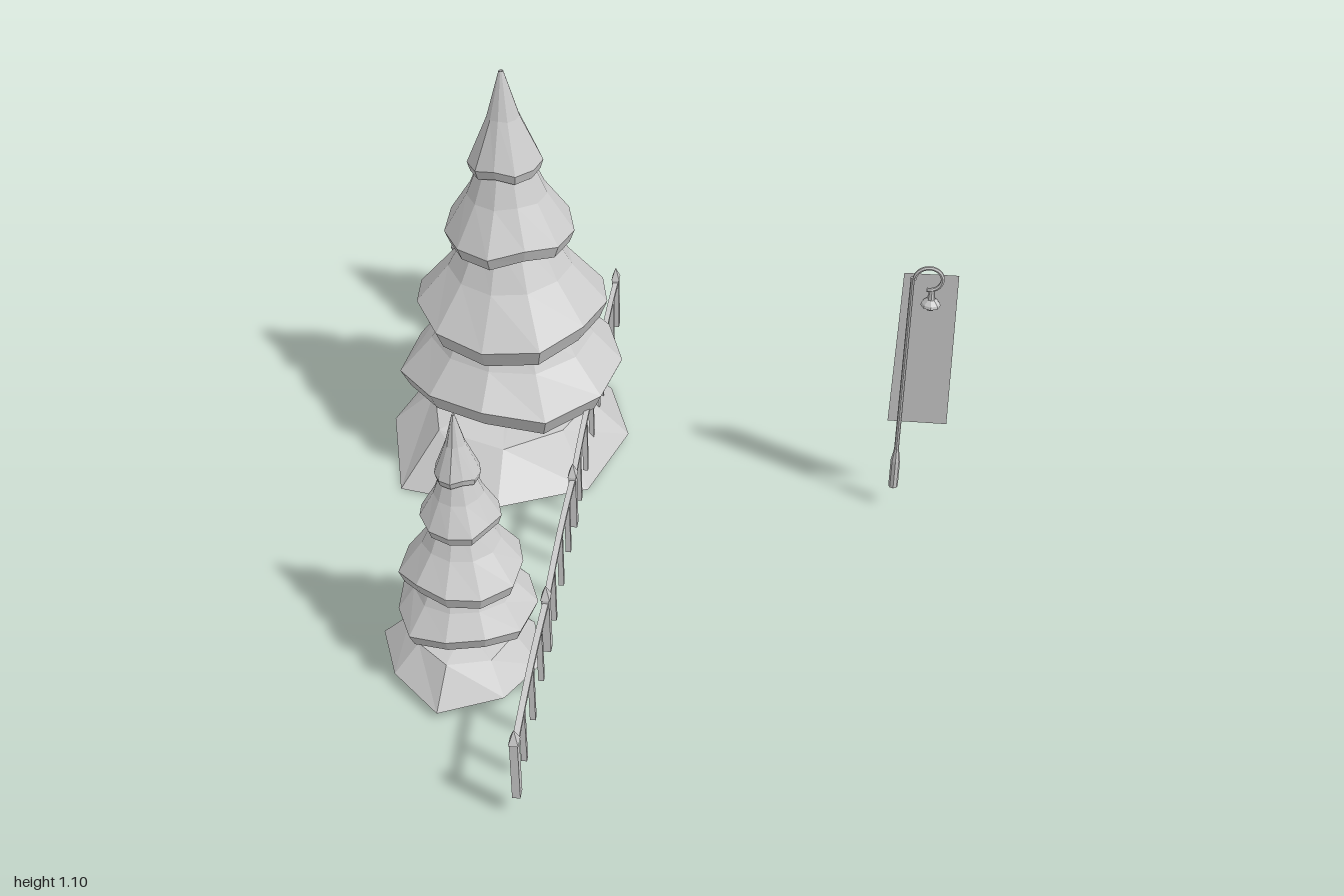
import * as THREE from 'three';

const material = new THREE.MeshStandardMaterial({ color: 0xcccccc, flatShading: true, side: THREE.DoubleSide });

function mesh(name, geometry, x = 0, y = 0, z = 0) {
  const m = new THREE.Mesh(geometry, material);
  m.name = name;
  m.position.set(x, y, z);
  return m;
}

// Skin a stack of rings; each ring is a function of angle and index giving [radius, y]
function loft(rings, sides) {
  const pos = [], index = [];
  for (const ring of rings) {
    for (let i = 0; i < sides; i++) {
      const a = (i / sides) * Math.PI * 2;
      const [r, y] = ring(a, i);
      pos.push(r * Math.cos(a), y, r * Math.sin(a));
    }
  }
  for (let j = 0; j < rings.length - 1; j++) {
    for (let i = 0; i < sides; i++) {
      const k = (i + 1) % sides;
      const a = j * sides + i, b = j * sides + k, c = a + sides, d = b + sides;
      index.push(a, b, c, b, d, c);
    }
  }
  const g = new THREE.BufferGeometry();
  g.setAttribute('position', new THREE.Float32BufferAttribute(pos, 3));
  g.setIndex(index);
  const flat = g.toNonIndexed();
  flat.computeVertexNormals();
  return flat;
}

// One skirt of branches: flared cone, thick wavy lip and recessed underside
function branchTier(topR, topY, rimR, rimY, lip, phase) {
  const wave = a => Math.sin(3 * a + phase) + 0.6 * Math.cos(5 * a + phase * 2);
  const ring = (r, y, amount) => a => [
    r * (1 + 0.035 * amount * wave(a)),
    y + 0.05 * rimR * amount * wave(a + 0.8),
  ];
  const midR = topR + (rimR - topR) * 0.4, midY = topY + (rimY - topY) * 0.5;
  return loft([
    ring(topR, topY, 0),
    ring(midR, midY, 0.3),
    ring(rimR, rimY, 1),
    ring(rimR * 0.92, rimY - lip, 1),
    ring(rimR * 0.6, rimY - lip * 0.4, 0.5),
    ring(0.03, rimY + lip * 0.2, 0),
  ], 11);
}

function createTree() {
  const tree = new THREE.Group();
  // top radius, top y, rim radius, rim y, lip height
  const tiers = [
    [0.006, 1.10, 0.093, 0.862, 0.025],
    [0.06, 0.87, 0.165, 0.67, 0.035],
    [0.10, 0.67, 0.252, 0.45, 0.05],
    [0.16, 0.44, 0.288, 0.265, 0.05],
  ];
  tiers.forEach((t, i) => tree.add(mesh('branchTier' + (i + 1), branchTier(...t, i * 1.9))));
  tree.add(mesh('trunk', new THREE.CylinderGeometry(0.035, 0.045, 0.74, 8), 0, 0.45, 0));

  // Irregular mound, hollow beneath
  const base = [0.30, 0.31, 0.34, 0.38, 0.34, 0.39, 0.31, 0.32];
  tree.add(mesh('groundMound', loft([
    () => [0.04, 0.15],
    (a, i) => [base[i] * 0.66, 0.13 + 0.008 * Math.sin(3 * a)],
    (a, i) => [base[i], i % 2 ? 0.004 : 0.024],
  ], 8)));
  return tree;
}

function createFence() {
  const fence = new THREE.Group();
  fence.name = 'fence';
  const x = -0.188, start = 0.99, bay = 0.4425, bays = 4;
  for (let b = 0; b <= bays; b++) {
    const z = start - b * bay;
    // Main post with pointed cap
    fence.add(mesh('mainPost', new THREE.BoxGeometry(0.018, 0.16, 0.025), x, 0.14, z));
    const cap = new THREE.ConeGeometry(0.5 * Math.SQRT2, 0.035, 4).rotateY(Math.PI / 4);
    const capMesh = mesh('postCap', cap, x, 0.2375, z);
    capMesh.scale.set(0.022, 1, 0.029);
    fence.add(capMesh);
    if (b === bays) break;
    // Arched rail and its pickets
    const railY = t => 0.205 + 0.015 * Math.sin(Math.PI * t);
    const arch = new THREE.Shape();
    for (let i = 0; i <= 8; i++) arch.lineTo(-bay * i / 8, railY(i / 8) + 0.005);
    for (let i = 8; i >= 0; i--) arch.lineTo(-bay * i / 8, railY(i / 8) - 0.005);
    arch.curves.shift();
    const rail = new THREE.ExtrudeGeometry(arch, { depth: 0.014, bevelEnabled: false, steps: 1 });
    rail.translate(0, 0, -0.007).rotateY(-Math.PI / 2);
    fence.add(mesh('rail', rail, x, 0, z));
    for (let p = 1; p <= 3; p++) {
      const top = railY(p * 0.28 - 0.06);
      fence.add(mesh('picket', new THREE.BoxGeometry(0.013, top - 0.06, 0.014),
        x, (top + 0.06) / 2, z - bay * (p * 0.275 - 0.05)));
    }
  }
  return fence;
}

function createLamp() {
  const lamp = new THREE.Group();
  lamp.name = 'lampPost';
  lamp.position.set(0.608, 0, -0.12);
  const lathe = pts => new THREE.LatheGeometry(pts.map(p => new THREE.Vector2(...p)), 8);
  lamp.add(mesh('pole', lathe([[0, 0.07], [0.012, 0.07], [0.012, 0.155], [0.006, 0.19], [0.005, 0.71], [0, 0.71]])));

  // Curled hook at the top of the pole
  const pts = [];
  for (let i = 0; i <= 14; i++) {
    const a = Math.PI - (i / 14) * Math.PI * 1.55;
    const r = 0.036 - 0.008 * (i / 14);
    pts.push(new THREE.Vector3(0.04 + r * Math.cos(a), 0.705 + r * Math.sin(a), 0));
  }
  lamp.add(mesh('hook', new THREE.TubeGeometry(new THREE.CatmullRomCurve3(pts), 24, 0.005, 6)));

  // Hanging lantern: shade, neck and bulb
  lamp.add(mesh('lantern', lathe([
    [0, 0.618], [0.009, 0.622], [0.011, 0.636], [0.024, 0.634], [0.022, 0.641],
    [0.010, 0.652], [0.007, 0.672], [0.003, 0.682], [0, 0.682],
  ]), 0.048));

  // Thin panel behind the lamp
  const panel = new THREE.Shape();
  panel.moveTo(-0.028, 0.265);
  panel.lineTo(0.119, 0.265);
  panel.lineTo(0.110, 0.71);
  panel.lineTo(-0.02, 0.71);
  lamp.add(mesh('backPanel', new THREE.ShapeGeometry(panel), 0, 0, -0.018));
  return lamp;
}

export function createModel() {
  const model = new THREE.Group();
  model.name = 'snowyTreesWithFenceAndLamp';

  const largeTree = createTree();
  largeTree.name = 'largeTree';
  largeTree.position.set(-0.40, 0, -0.32);
  model.add(largeTree);

  for (const [name, x, z, turn] of [['frontSmallTree', -0.375, 0.535, 0.6], ['backSmallTree', -0.517, -0.82, 0.6]]) {
    const tree = createTree();
    tree.name = name;
    tree.position.set(x, 0.02, z);
    tree.scale.set(0.56, 0.636, 0.56);
    tree.rotation.y = turn;
    model.add(tree);
  }

  model.add(createFence(), createLamp());
  return model;
}
